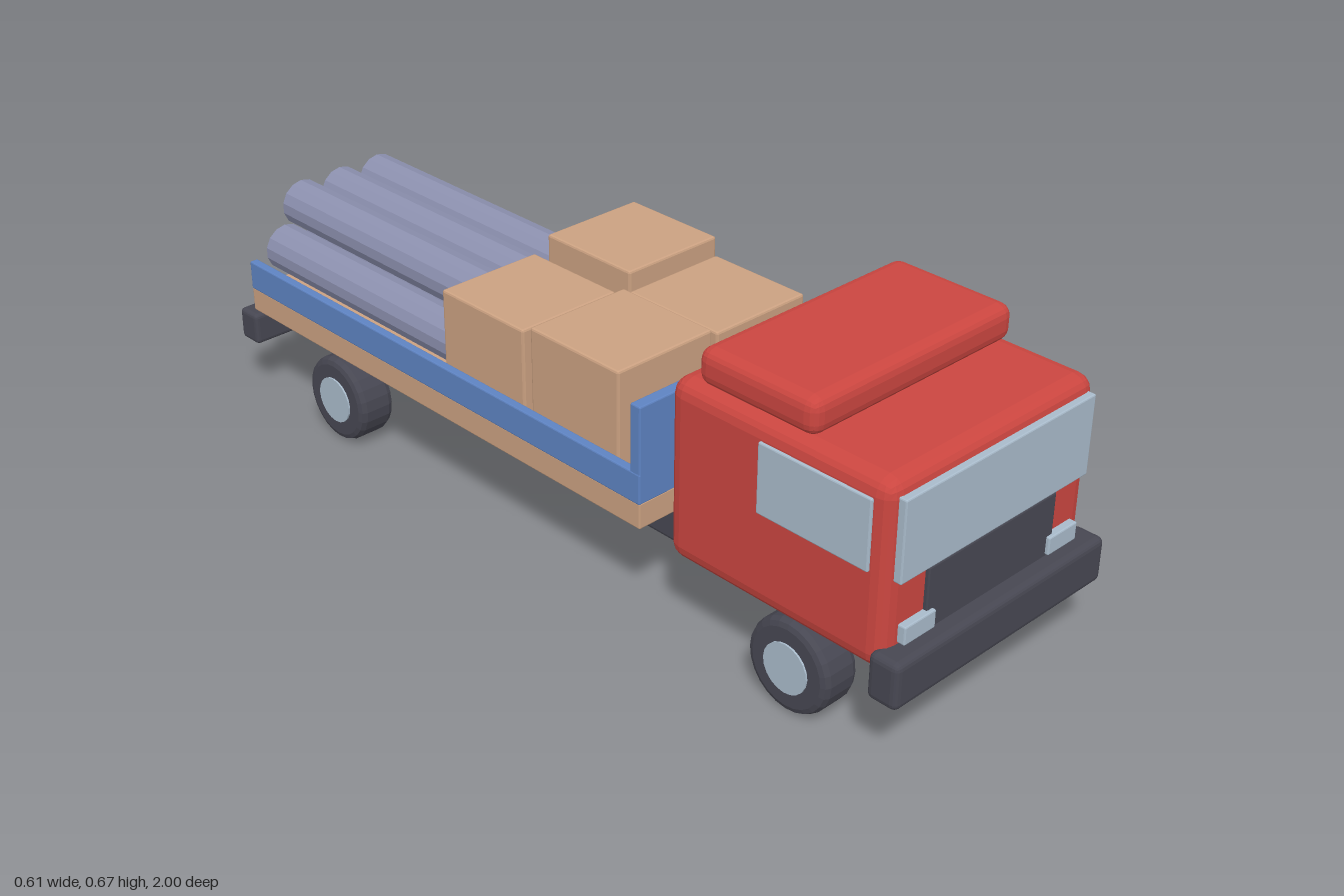
import * as THREE from 'three';
import { RoundedBoxGeometry } from 'three/addons/geometries/RoundedBoxGeometry.js';

const paint = (name, color) => {
  const m = new THREE.MeshStandardMaterial({ color });
  m.name = name;
  return m;
};

export function createModel() {
  const truck = new THREE.Group();
  truck.name = 'flatbedTruck';

  const red = paint('red', 0xcb4640);
  const dark = paint('dark grey', 0x474752);
  const wood = paint('tan wood', 0xcba181);
  const blue = paint('blue', 0x5e83c2);
  const steel = paint('grey blue', 0x8c90af);
  const glass = paint('pale blue', 0xa9bbcb);

  const add = (name, geometry, material, parent = truck) => {
    const mesh = new THREE.Mesh(geometry, material);
    mesh.name = name;
    parent.add(mesh);
    return mesh;
  };

  // Box given by its extents on each axis, with faceted bevels of radius r
  const block = (name, material, [x0, x1], [y0, y1], [z0, z1], r = 0.003, segments = 1) => {
    const g = new RoundedBoxGeometry(x1 - x0, y1 - y0, z1 - z0, segments, r);
    g.computeVertexNormals();
    g.translate((x0 + x1) / 2, (y0 + y1) / 2, (z0 + z1) / 2);
    return add(name, g, material);
  };

  // Flat-sided turned part along the x axis from [radius, x] points
  const turned = (points, sides) => {
    const g = new THREE.LatheGeometry(points.map(([r, y]) => new THREE.Vector2(r, y)), sides).toNonIndexed();
    g.computeVertexNormals();
    return g.rotateZ(-Math.PI / 2);
  };

  // Chassis and bumpers
  block('chassis', dark, [-0.183, 0.183], [0.137, 0.22], [-0.9, 0.9], 0.008);
  block('frontBumper', dark, [-0.304, 0.304], [0.153, 0.253], [0.93, 1], 0.014, 2);
  block('rearBumper', dark, [-0.304, 0.304], [0.138, 0.214], [-1, -0.936], 0.01, 2);

  // Cab with roof fairing
  block('cab', red, [-0.292, 0.292], [0.2, 0.593], [0.413, 0.951], 0.035, 2);
  block('roofFairing', red, [-0.279, 0.279], [0.594, 0.672], [0.472, 0.762], 0.026, 2);
  block('windscreen', glass, [-0.268, 0.268], [0.391, 0.563], [0.945, 0.965]);
  block('grille', dark, [-0.183, 0.183], [0.24, 0.386], [0.945, 0.96]);

  // Parts mirrored on both sides
  for (const side of [1, -1]) {
    const span = (a, b) => (side > 0 ? [a, b] : [-b, -a]);
    const label = side > 0 ? 'left' : 'right';
    block(label + 'Headlight', glass, span(0.165, 0.25), [0.256, 0.295], [0.945, 0.968]);
    block(label + 'SideWindow', glass, span(0.286, 0.298), [0.406, 0.555], [0.648, 0.913]);
    block(label + 'TailLight', red, span(0.186, 0.251), [0.205, 0.262], [-0.985, -0.969]);
    block(label + 'BedRail', blue, span(0.284, 0.304), [0.287, 0.355], [-0.938, 0.352]);
  }

  // Load bed and headboard
  block('bed', wood, [-0.303, 0.303], [0.232, 0.29], [-0.938, 0.352]);
  block('headboard', blue, [-0.303, 0.303], [0.287, 0.503], [0.325, 0.352]);

  // Wheels: tyre with chamfered shoulders and a hub showing on both faces
  const tyre = turned([[0, -0.045], [0.085, -0.045], [0.095, -0.041], [0.1, -0.03],
    [0.1, 0.03], [0.095, 0.041], [0.085, 0.045], [0, 0.045]], 24);
  const hub = turned([[0, -0.049], [0.054, -0.049], [0.054, 0.049], [0, 0.049]], 20);
  for (const z of [0.73, -0.657]) {
    for (const x of [-0.245, 0.245]) {
      const wheel = new THREE.Group();
      wheel.name = z > 0 ? 'frontWheel' : 'rearWheel';
      wheel.position.set(x, 0.102, z);
      add('tyre', tyre, dark, wheel);
      add('hub', hub, glass, wheel);
      truck.add(wheel);
    }
  }

  // Crates: centre x, centre z, top height
  const crates = [[-0.138, -0.153, 0.508], [0.143, -0.14, 0.548], [-0.151, 0.139, 0.535], [0.13, 0.127, 0.513]];
  for (const [x, z, top] of crates) {
    block('crate', wood, [x - 0.127, x + 0.127], [0.29, top], [z - 0.127, z + 0.127], 0.005);
  }

  // Stacked pipes: four below, three nested above
  const pipe = new THREE.CylinderGeometry(0.055, 0.055, 0.72, 14).toNonIndexed();
  pipe.computeVertexNormals();
  pipe.rotateX(Math.PI / 2);
  for (const [count, x0, y] of [[4, -0.185, 0.346], [3, -0.13, 0.442]]) {
    for (let i = 0; i < count; i++) {
      add('pipe', pipe, steel).position.set(x0 + i * 0.11, y, -0.604);
    }
  }

  return truck;
}
